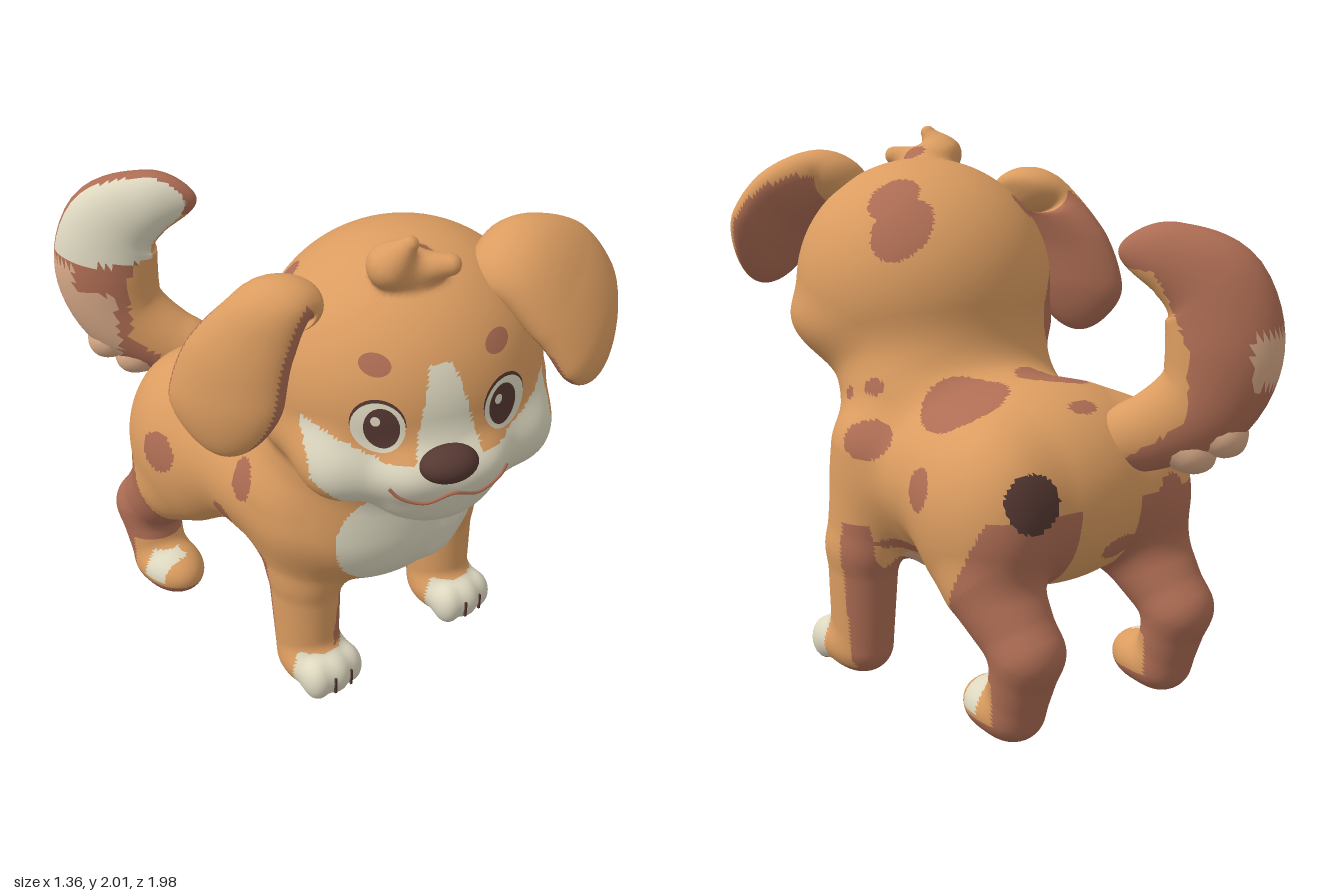
import * as THREE from 'three';

const V = (x, y, z) => new THREE.Vector3(x, y, z);
const colours = { orange: 0xdb9c60, brown: 0xae6d54, cream: 0xded8c0, peach: 0xd8aa88, dark: 0x553832 };
const NAMES = Object.keys(colours);
const inside = (p, list) => list.some(([x, y, z, a, b, c]) =>
  ((p.x - x) / a) ** 2 + ((p.y - y) / b) ** 2 + ((p.z - z) / c) ** 2 < 1);

// The head is turned a little towards its right
const headM = new THREE.Matrix4().makeRotationFromEuler(new THREE.Euler(0, -0.4, 0.05)).setPosition(0.04, 1.43, 0.43);
const headInv = headM.clone().invert();

// Soft forms: tapered, stretched capsules that melt into each other over a width k
const forms = [];
const form = (a, b, s = [1, 1, 1], k = 0.06, local = false) => forms.push({ a, b, s, k, local });
const ball = (c, r, k, local) => form([...c, 1], [...c, 1], r, k, local);
const local = V();
function field(p) {
  local.copy(p).applyMatrix4(headInv);
  let d = 9;
  for (const f of forms) {
    const q = f.local ? local : p, { a, b, s, k } = f;
    let x = (q.x - a[0]) / s[0], y = (q.y - a[1]) / s[1], z = (q.z - a[2]) / s[2];
    const ex = (b[0] - a[0]) / s[0], ey = (b[1] - a[1]) / s[1], ez = (b[2] - a[2]) / s[2];
    const h = Math.min(1, Math.max(0, (x * ex + y * ey + z * ez) / (ex * ex + ey * ey + ez * ez + 1e-9)));
    x -= h * ex; y -= h * ey; z -= h * ez;
    const len = Math.sqrt(x * x + y * y + z * z) + 1e-9;
    const g = Math.sqrt((x / s[0]) ** 2 + (y / s[1]) ** 2 + (z / s[2]) ** 2) + 1e-9;
    const e = ((len - a[3] - h * (b[3] - a[3])) * len) / g;
    const m = Math.max(0, k - Math.abs(d - e)) / k;
    d = Math.min(d, e) - (m * m * k) / 4;
  }
  return d;
}
function normalAt(p) {
  const e = 0.002, n = V(), q = V();
  for (const c of ['x', 'y', 'z']) {
    q.copy(p)[c] += e;
    n[c] = field(q);
    q[c] -= 2 * e;
    n[c] -= field(q);
  }
  return n.normalize();
}
// Point where a line from p meets the soft forms
function land(p, dir) {
  for (let i = 0; i < 40; i++) p.addScaledVector(dir, field(p) * 0.8);
  return p;
}
// Skin over the soft forms: one vertex per crossed grid cell, one quad per crossed grid edge
function skin(min, n, cell) {
  const step = [1, n[0], n[0] * n[1]], total = step[2] * n[2], val = new Float32Array(total);
  const at = (i) => V(i % n[0], Math.floor(i / step[1]) % n[1], Math.floor(i / step[2])).multiplyScalar(cell).add(min);
  for (let i = 0; i < total; i++) val[i] = field(at(i));
  const vert = new Int32Array(total), pos = [], nor = [], idx = [];
  for (let i = 0; i < total - step[2] - step[1] - 1; i++) {
    let count = 0;
    for (let c = 0; c < 8; c++) count += val[i + (c & 1) + (c >> 1 & 1) * step[1] + (c >> 2) * step[2]] < 0 ? 1 : 0;
    if (count % 8 === 0) continue;
    const p = at(i).addScalar(cell / 2);
    for (let t = 0; t < 2; t++) p.addScaledVector(normalAt(p), -field(p));
    vert[i] = pos.length / 3;
    pos.push(...p);
    nor.push(...normalAt(p));
  }
  for (let i = step[2] + step[1] + 1; i < total - step[2]; i++) {
    for (let a = 0; a < 3; a++) {
      if (val[i] < 0 === val[i + step[a]] < 0) continue;
      const b = step[(a + 1) % 3], c = step[(a + 2) % 3];
      const [p, q, r, s] = [i - b - c, i - c, i, i - b].map((j) => vert[j]);
      idx.push(...(val[i] < 0 ? [p, q, r, p, r, s] : [p, r, q, p, s, r]));
    }
  }
  return geometry(pos, idx, nor);
}
function geometry(pos, idx, nor) {
  const g = new THREE.BufferGeometry().setIndex(idx);
  g.setAttribute('position', new THREE.Float32BufferAttribute(pos, 3));
  if (nor) g.setAttribute('normal', new THREE.Float32BufferAttribute(nor, 3));
  else g.computeVertexNormals();
  return g;
}
// Rounded form through stations [x, y, z, radius along side, other radius]
function loft(stations, side, cap, rings = 56, segs = 44) {
  const path = new THREE.CatmullRomCurve3(stations.map((s) => V(...s)));
  const radii = new THREE.CatmullRomCurve3(stations.map((s) => V(s[3], s[4], 0)));
  const pos = [], uv = [], idx = [], round = (t, c) => (t >= c ? 1 : Math.sqrt(Math.max(0, 1 - (1 - t / c) ** 2)));
  side = side.clone().normalize();
  for (let i = 0; i <= rings; i++) {
    const u = (1 - Math.cos((Math.PI * i) / rings)) / 2, r = radii.getPoint(u);
    const other = path.getTangent(u).cross(side).normalize(), k = round(u, cap[0]) * round(1 - u, cap[1]);
    for (let j = 0; j < segs; j++) {
      const a = (j / segs) * Math.PI * 2, A = i * segs + j, B = i * segs + ((j + 1) % segs);
      pos.push(...path.getPoint(u).addScaledVector(side, r.x * k * Math.cos(a)).addScaledVector(other, r.y * k * Math.sin(a)));
      uv.push(u, Math.sin(a));
      if (i < rings) idx.push(A, B, A + segs, B, B + segs, A + segs);
    }
  }
  return geometry(pos, idx).setAttribute('uv', new THREE.Float32BufferAttribute(uv, 2));
}

export function createModel() {
  const puppy = new THREE.Group();
  puppy.name = 'puppy';
  const mats = NAMES.map((name) => Object.assign(new THREE.MeshStandardMaterial({ color: colours[name] }), { name }));
  // Adds a part in one colour, or with its triangles sorted into colours by a rule
  function add(name, geo, colour) {
    const painted = typeof colour === 'function';
    if (painted) {
      const { position, uv } = geo.attributes, idx = geo.index.array, sets = NAMES.map(() => []), q = V();
      for (let i = 0; i < idx.length; i += 3) {
        const tri = [idx[i], idx[i + 1], idx[i + 2]], p = V();
        tri.forEach((t) => p.addScaledVector(q.fromBufferAttribute(position, t), 1 / 3));
        sets[NAMES.indexOf(colour(p, uv && uv.getX(tri[0]), uv && uv.getY(tri[0])))].push(...tri);
      }
      sets.reduce((start, s, m) => (geo.addGroup(start, s.length, m), start + s.length), 0);
      geo.setIndex(sets.flat());
    }
    const mesh = new THREE.Mesh(geo, painted ? mats : mats[NAMES.indexOf(colour)]);
    mesh.name = name;
    puppy.add(mesh);
    return mesh;
  }

  // Torso, hips, chest and neck
  forms.length = 0;
  form([0.05, 0.815, -0.325, 0.365], [0.05, 0.79, 0.25, 0.34], [1.36, 1, 1]);
  for (const x of [0.32, -0.23]) ball([x, 0.82, -0.43], [0.22, 0.27, 0.24], 0.06);
  ball([0.05, 0.71, 0.08], [0.4, 0.355, 0.42], 0.06);
  ball([0.05, 0.78, 0.33], [0.37, 0.3, 0.285], 0.06);
  ball([0.05, 1.03, 0.25], [0.43, 0.34, 0.35], 0.1);
  // Skull, jowls, cheeks, muzzle, lips and chin
  ball([0, 0, 0], [0.487, 0.465, 0.455], 0.12, true);
  ball([0, -0.14, 0.02], [0.505, 0.23, 0.37], 0.06, true);
  ball([0, -0.2, 0.32], [0.27, 0.18, 0.2], 0.08, true);
  ball([0, -0.31, 0.27], [0.22, 0.145, 0.2], 0.06, true);
  for (const s of [-1, 1]) {
    ball([s * 0.29, -0.19, 0.25], [0.15, 0.15, 0.15], 0.08, true);
    ball([s * 0.09, -0.17, 0.385], [0.13, 0.09, 0.13], 0.05, true);
  }
  // Legs, paws and toes
  const fronts = [[0.457, 0.42], [-0.22, -0.25]], hinds = [[0.355, 0.375], [-0.335, -0.305]];
  for (const [x, top] of fronts) {
    form([top, 0.88, 0.2, 0.15], [x, 0.5, 0.24, 0.13], [1, 1, 1.17], 0.08);
    form([x, 0.5, 0.24, 0.13], [x, 0.1, 0.26, 0.112], [1, 1, 1.13], 0.03);
    ball([x, 0.1, 0.33], [0.128, 0.1, 0.145], 0.04);
    for (const k of [-1, 0, 1]) ball([x + k * 0.075, 0.085, 0.42 - Math.abs(k) * 0.012], [0.052, 0.08, 0.06], 0.03);
  }
  for (const [x, top] of hinds) {
    ball([top, 0.7, -0.38], [0.178, 0.27, 0.265], 0.08);
    form([top, 0.54, -0.47, 0.17], [x, 0.34, -0.635, 0.122], [0.98, 1, 1], 0.06);
    form([x, 0.34, -0.635, 0.122], [x, 0.1, -0.565, 0.1], [1.05, 1, 1], 0.03);
    ball([x, 0.1, -0.49], [0.12, 0.1, 0.16], 0.04);
  }
  // Chest fur, then the hair tuft on the crown
  [[[0.14, 0.83, 0.55, 0.075], [0.37, 0.88, 0.5, 0.03]], [[0.15, 0.75, 0.555, 0.075], [0.39, 0.77, 0.49, 0.03]],
    [[0.14, 0.68, 0.545, 0.07], [0.34, 0.64, 0.48, 0.03]], [[0.1, 0.65, 0.535, 0.055], [0.2, 0.53, 0.48, 0.02]],
    [[-0.07, 1.84, 0.56, 0.085], [-0.155, 1.89, 0.58, 0.065]], [[-0.155, 1.89, 0.58, 0.065], [-0.12, 1.97, 0.63, 0.028]],
    [[-0.08, 1.86, 0.6, 0.06], [0, 1.885, 0.69, 0.035]]].forEach(([a, b]) => form(a, b, [1, 1, 1], 0.04));

  // Coat pattern
  const spots = [
    [0.54, 0.95, 0.09, 0.2, 0.07, 0.1], [0.55, 0.86, -0.27, 0.2, 0.075, 0.07], [0.31, 1.12, -0.2, 0.17, 0.14, 0.18],
    [0.46, 1.08, 0.28, 0.1, 0.025, 0.028], [0.42, 1.12, 0.16, 0.12, 0.03, 0.045], [-0.06, 1.2, -0.24, 0.13, 0.15, 0.15],
    [-0.34, 1.08, -0.14, 0.09, 0.19, 0.17], [0.03, 1.15, -0.52, 0.06, 0.1, 0.03], [-0.45, 0.92, 0.12, 0.15, 0.09, 0.06],
    [-0.48, 0.82, -0.32, 0.15, 0.08, 0.08], [-0.44, 0.68, -0.02, 0.15, 0.06, 0.04], [-0.05, 0.63, -0.68, 0.09, 0.05, 0.15],
    [-0.25, 0.8, -0.66, 0.06, 0.07, 0.12], [0.15, 0.93, 0.58, 0.09, 0.026, 0.2], [0.5, 0.55, 0, 0.15, 0.03, 0.09],
    [0.3, 1.67, 0.17, 0.14, 0.13, 0.09], [0.28, 1.77, 0.26, 0.11, 0.1, 0.08], [-0.27, 1.75, 0.18, 0.07, 0.08, 0.05],
    [-0.4, 1.32, 0.1, 0.15, 0.17, 0.13], [-0.02, 1.88, 0.57, 0.05, 0.06, 0.05]];
  const near = (p, legs, w) => legs.find(([x]) => Math.abs(p.x - x) < w);
  const coat = (p) => {
    const f = p.clone().applyMatrix4(headInv), x = Math.abs(f.x);
    const blaze = f.y < 0.2 && f.y > -0.16 && x < 0.04 + (0.2 - f.y) * 0.24;
    const cheeks = f.y > -0.5 && f.y < -0.11 + Math.max(0, x - 0.2) * 0.5 && x < 0.42 - Math.max(0, -0.2 - f.y);
    if (f.z > 0.18 && (blaze || cheeks)) return 'cream';
    if (inside(p, [[0.35, 0.87, -0.66, 0.1, 0.1, 0.13]])) return 'dark';
    if (inside(p, spots)) return 'brown';
    if (p.z > 0.3 && p.y > 0.5 && inside(p, [[0.06, 0.785, p.z, 0.345, 0.28, 1]])) return 'cream';
    const front = near(p, fronts, 0.15), hind = near(p, hinds, 0.22);
    if (p.z > 0.09 && front && p.y < 0.62 && (p.y < 0.33 || p.z < 0.42)) {
      if (p.z > 0.33 && p.y < 0.19) return p.y > 0.02 ? 'cream' : 'brown';
      const inner = p.x < 0 && p.y > 0.2 && p.x > -0.12 - (0.6 - p.y) * 0.2;
      return p.z < 0.19 || inner || p.y < 0.03 ? 'brown' : 'orange';
    }
    if (p.z < -0.2 && hind && Math.abs(p.x - 0.03) > 0.13 && p.y < 0.82) {
      if (p.y < 0.24 && p.y > 0.08 && p.z > -0.58) {
        const patch = p.z > -0.5 && p.z < -0.4 && p.y > 0.1 && p.y < 0.2;
        return patch && (p.x - hind[0]) * Math.sign(hind[0]) > -0.02 ? 'cream' : 'orange';
      }
      if (p.y < 0.4 || p.z < -0.43 - (p.y - 0.48) * 0.5) return 'brown';
    }
    return p.y < 0.52 && Math.abs(p.x - 0.05) < 0.34 && p.z > -0.5 ? 'peach' : 'orange';
  };
  add('bodyHeadAndLegs', skin(V(-0.6, -0.04, -0.82), [81, 130, 115], 0.016), coat);
  for (const [x] of fronts) {
    for (const k of [-1, 1]) {
      const gap = add('toeGap', new THREE.BoxGeometry(0.009, 0.07, 0.009), 'dark');
      gap.position.copy(land(V(x + k * 0.038, 0.085, 0.6), V(0, 0, -1)));
    }
  }

  // Face: thin ovals laid on the surface, nose and smile
  const ahead = V(0, 0, -1).transformDirection(headM);
  function facePoint(x, y, off) {
    const p = land(V(x, y, 0.75).applyMatrix4(headM), ahead);
    return p.addScaledVector(normalAt(p), off);
  }
  function oval(name, colour, x, y, a, b, off) {
    const g = new THREE.RingGeometry(0.001, 1, 32, 6), pos = g.attributes.position;
    for (let i = 0; i < pos.count; i++) pos.setXYZ(i, ...facePoint(x + pos.getX(i) * a, y + pos.getY(i) * b, off));
    g.computeVertexNormals();
    add(name, g, colour);
  }
  for (const s of [-1, 1]) {
    oval('eyeRim', 'dark', s * 0.21, 0.018, 0.082, 0.09, 0.004);
    oval('eyeWhite', 'cream', s * 0.21, 0.008, 0.08, 0.089, 0.0055);
    oval('iris', 'dark', s * 0.2, 0.008, 0.053, 0.072, 0.007);
    oval('eyeGlint', 'cream', s * 0.2 - 0.018, 0.035, 0.014, 0.017, 0.0085);
    oval('brow', 'brown', s * 0.2, 0.21, 0.046, 0.034, 0.004);
  }
  add('nose', new THREE.SphereGeometry(1, 32, 20).scale(0.098, 0.062, 0.07).translate(-0.01, -0.115, 0.505).applyMatrix4(headM), 'dark');
  const smile = [[-0.2, -0.19], [-0.17, -0.225], [-0.09, -0.255], [0, -0.225], [0.09, -0.255], [0.17, -0.225], [0.2, -0.19]];
  const lips = new THREE.CatmullRomCurve3(smile.map(([x, y]) => facePoint(x, y, 0.002)));
  add('mouth', new THREE.TubeGeometry(lips, 48, 0.007, 6), 'brown');

  // Ears: the left flops forwards, the right hangs down
  add('leftEar', loft([[0.22, 1.75, 0.58, 0.11, 0.08], [0.29, 1.81, 0.69, 0.17, 0.1], [0.41, 1.72, 0.78, 0.235, 0.1],
    [0.48, 1.59, 0.85, 0.24, 0.09], [0.53, 1.42, 0.89, 0.2, 0.08]],
  V(0.78, 0.45, -0.43), [0.15, 0.28]), (p, u, s) => (u > 0.2 && s < u - 0.75 ? 'brown' : 'orange'));
  add('rightEar', loft([[-0.33, 1.72, 0.38, 0.1, 0.09], [-0.43, 1.745, 0.35, 0.14, 0.095], [-0.52, 1.6, 0.29, 0.19, 0.095],
    [-0.565, 1.4, 0.26, 0.21, 0.09], [-0.585, 1.19, 0.27, 0.17, 0.08]],
  V(0.42, 0.08, 0.9), [0.15, 0.28]), (p, u, s) => (u > 0.25 && s < 0.3 ? 'brown' : 'orange'));

  // Tail curling in an upright diagonal plane; s runs outwards along that plane
  const base = V(-0.08, 0, -0.56), out = V(-0.68, 0, -0.73), across = V(-0.73, 0, 0.68);
  const onTail = ([s, y, a, b]) => [base.x + out.x * s, y, base.z + out.z * s, a, b];
  add('tail', loft([[-0.06, 0.98, 0.09, 0.11], [0.14, 1.04, 0.11, 0.14], [0.31, 1.16, 0.13, 0.18], [0.365, 1.34, 0.14, 0.2],
    [0.32, 1.53, 0.12, 0.185], [0.18, 1.63, 0.09, 0.13], [0, 1.66, 0.045, 0.08]].map(onTail), across, [0.1, 0.14]), (p) => {
    const rel = p.clone().sub(base), s = rel.dot(out), e = rel.dot(across);
    if (e > 0.035 && p.y > 1.42) return 'cream';
    if (p.y < 1.6 && s < Math.min(0.25, 0.08 + (p.y - 0.98) * 1.4, 0.25 - (p.y - 1.35) * 0.5)) return 'orange';
    return (s > 0.46 && p.y > 1.22 && p.y < 1.4) || (e > 0.05 && s > 0.3 && p.y < 1.3) ? 'peach' : 'brown';
  });
  [[0.16, 1.04, 0.34, 0.92], [0.28, 1.1, 0.44, 0.98]].forEach(([s, y, s2, y2]) =>
    add('tailFur', loft([[s, y, 0.09, 0.09], [(s + s2) / 2 + 0.01, (y + y2) / 2, 0.1, 0.09], [s2, y2, 0.06, 0.045]].map(onTail),
      across, [0.1, 0.2], 18, 16), 'peach'));
  return puppy;
}
